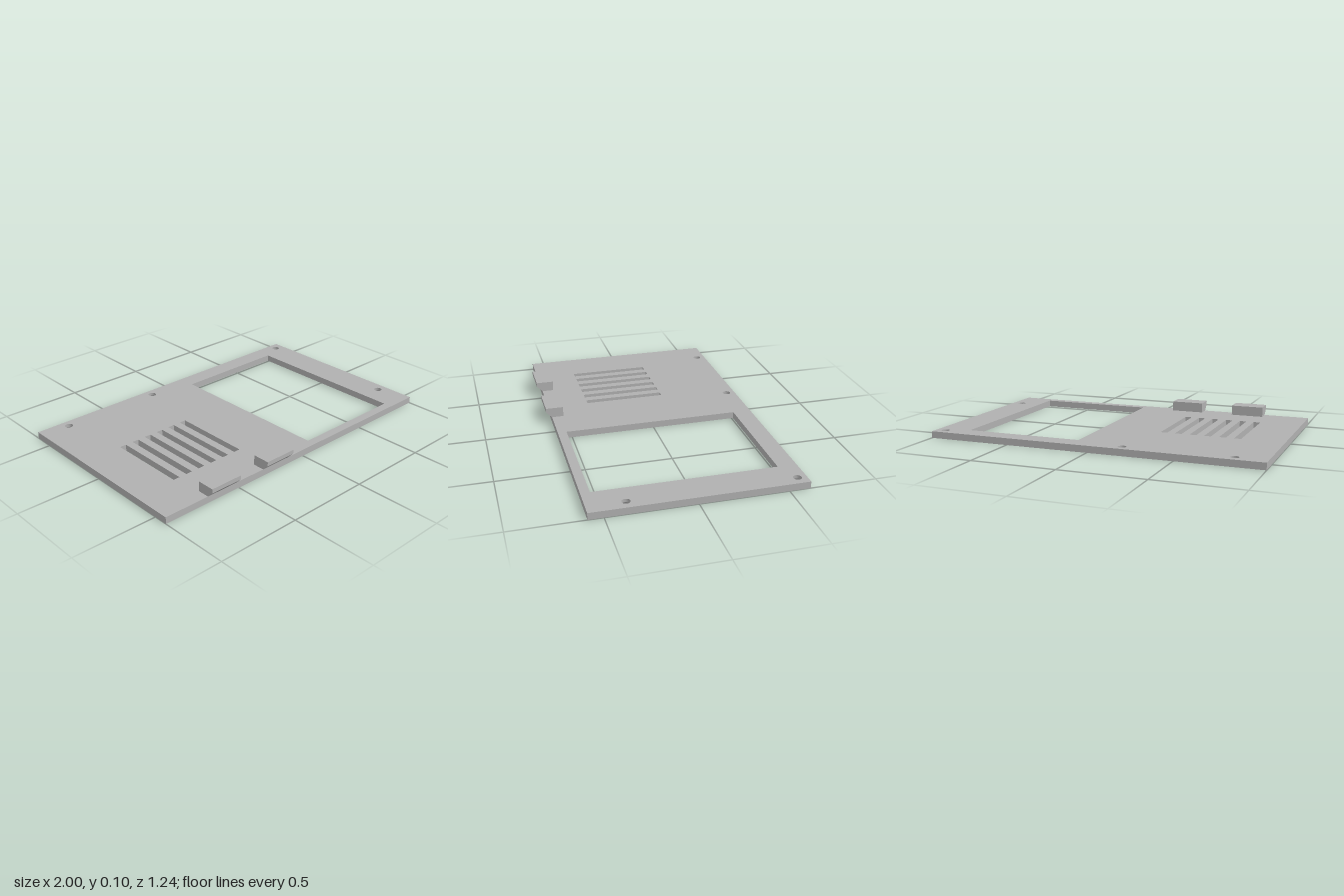
import * as THREE from 'three';
import { toCreasedNormals } from 'three/addons/utils/BufferGeometryUtils.js';

const THICK = 0.04;
const HOLE_R = 0.024, SINK_R = 0.038, SINK_DEPTH = 0.02;
const SCREWS = [[-0.82, -0.567], [-0.19, -0.567], [0.94, -0.567], [0.94, 0.373]];

// Rectangle drawn in plan: shape y is minus z
function rect(path, x0, x1, z0, z1) {
  path.moveTo(x0, -z1);
  path.lineTo(x1, -z1);
  path.lineTo(x1, -z0);
  path.lineTo(x0, -z0);
  path.closePath();
  return path;
}

export function createModel() {
  const group = new THREE.Group();
  const grey = new THREE.MeshStandardMaterial({ color: 0xb0b0b0 });
  grey.name = 'grey plastic';

  const add = (name, geometry, x = 0, z = 0) => {
    const mesh = new THREE.Mesh(geometry, grey);
    mesh.name = name;
    mesh.position.set(x, 0, z);
    group.add(mesh);
  };

  // Flat panel with a large window, six vent slots and screw openings
  const plan = rect(new THREE.Shape(), -1, 1, -0.62, 0.585);
  plan.holes.push(rect(new THREE.Path(), 0.097, 0.805, -0.51, 0.533));
  for (let i = 0; i < 6; i++) {
    const x = -0.748 + i * 0.0885;
    plan.holes.push(rect(new THREE.Path(), x, x + 0.041, -0.147, 0.337));
  }
  for (const [x, z] of SCREWS) {
    plan.holes.push(new THREE.Path().absarc(x, -z, SINK_R, 0, Math.PI * 2, true));
  }
  const panel = new THREE.ExtrudeGeometry(plan, { depth: THICK, bevelEnabled: false, curveSegments: 12 });
  panel.rotateX(-Math.PI / 2);
  add('panel', panel);

  // Screw holes, countersunk from below
  const profile = [
    [SINK_R, THICK], [HOLE_R, THICK], [HOLE_R, SINK_DEPTH], [SINK_R, 0],
  ].map(([r, y]) => new THREE.Vector2(r, y));
  const sink = toCreasedNormals(new THREE.LatheGeometry(profile, 24), 0.5);
  SCREWS.forEach(([x, z], i) => add(`screwHole${i + 1}`, sink, x, z));

  // Two hooked clips overhanging the front edge
  const side = new THREE.Shape([
    [0.515, THICK], [0.585, THICK], [0.62, 0.075], [0.62, 0.1], [0.515, 0.1],
  ].map(([z, y]) => new THREE.Vector2(z, y)));
  const clip = new THREE.ExtrudeGeometry(side, { depth: 0.2, bevelEnabled: false });
  clip.rotateY(-Math.PI / 2);
  add('rightClip', clip, -0.52);
  add('leftClip', clip, -0.12);

  return group;
}
